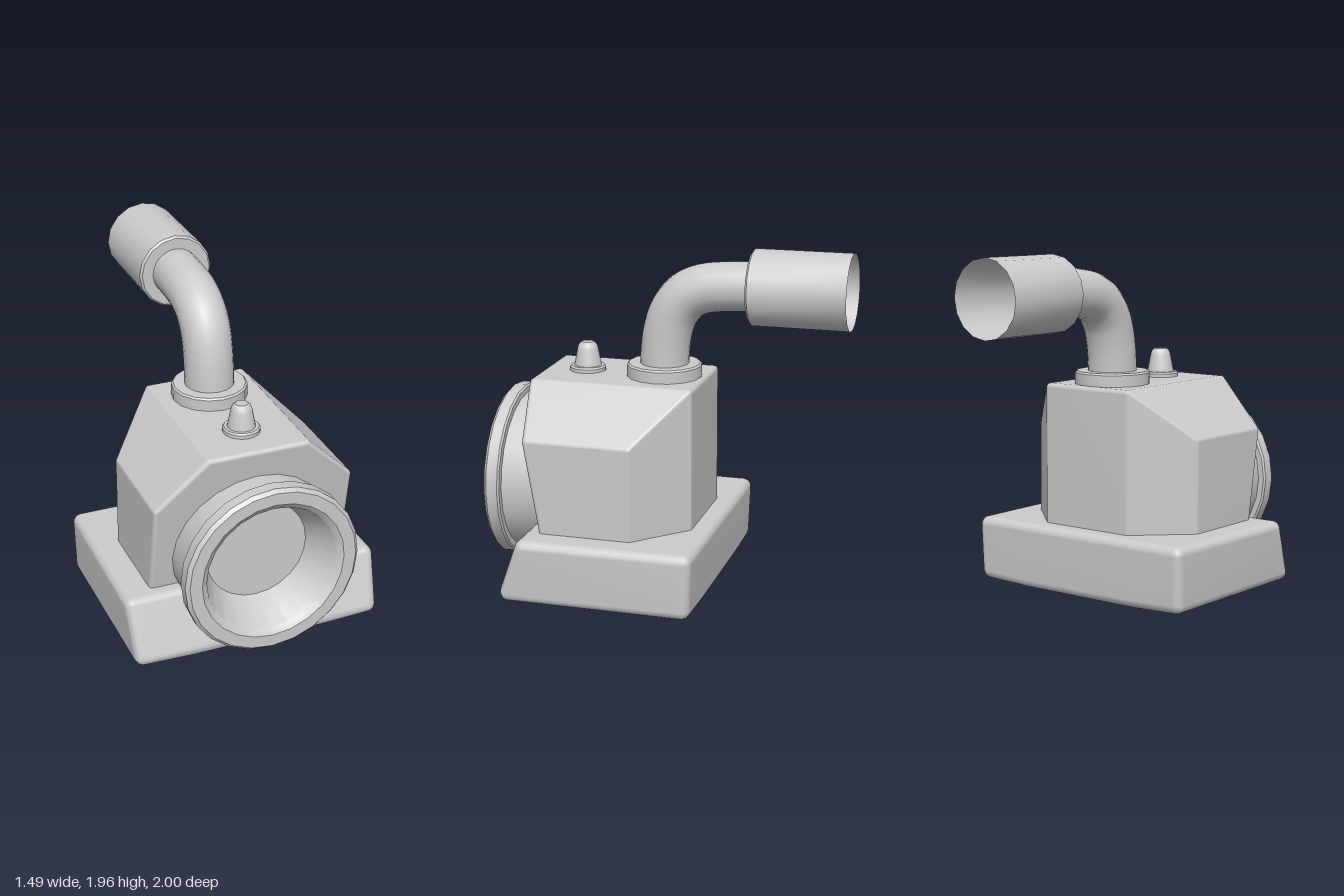
import * as THREE from 'three';
import { mergeVertices, toCreasedNormals } from 'three/addons/utils/BufferGeometryUtils.js';
import { ConvexGeometry } from 'three/addons/geometries/ConvexGeometry.js';

const grey = new THREE.MeshStandardMaterial({ color: 0xcccccc });
const greyOpen = new THREE.MeshStandardMaterial({ color: 0xcccccc, side: THREE.DoubleSide });

function addMesh(group, name, geometry, material = grey) {
  const mesh = new THREE.Mesh(geometry, material);
  mesh.name = name;
  group.add(mesh);
  return mesh;
}

// Rounded convex block: hull of small spheres at the corners, mirrored in x.
// The corners given are the sphere centres; normals are weighted by face area.
function roundedHull(corners, r) {
  const ball = new THREE.SphereGeometry(r, 16, 8).attributes.position;
  const points = [];
  for (const [x, y, z] of corners) {
    for (const s of [-1, 1]) {
      for (let i = 0; i < ball.count; i++) {
        points.push(new THREE.Vector3(s * x + ball.getX(i), y + ball.getY(i), z + ball.getZ(i)));
      }
    }
  }
  let g = new ConvexGeometry(points);
  g.deleteAttribute('normal');
  g = mergeVertices(g, 1e-5);
  g.computeVertexNormals();
  return g;
}

function turned(profile, sides) {
  const points = profile.map(([r, h]) => new THREE.Vector2(r, h));
  return toCreasedNormals(new THREE.LatheGeometry(points, sides), 0.6);
}

export function createModel() {
  const group = new THREE.Group();

  // Base: slanted front, sides flaring a little upwards, slightly bowed underside
  const b = 0.05;
  addMesh(group, 'base', roundedHull([
    [0.68, 0.065, 0.785], [0.68, 0.065, -0.22],
    [0.4, 0.055, 0.785], [0.4, 0.055, -0.22],
    [0.697, 0.34, 0.685], [0.685, 0.34, -0.23],
  ], b));

  // Housing: leaning front, chamfered shoulders and back corners
  const r = 0.025;
  const frontZ = (y) => 0.64 + 0.171 * (y - 0.38) - r;
  addMesh(group, 'housing', roundedHull([
    [0.58 - r, 0.3, frontZ(0.3)],
    [0.58 - r, 0.3, 0.12],
    [0.28, 0.3, -0.17 + r],
    [0.58 - r, 0.91, frontZ(0.91)],
    [0.58 - r, 0.91, 0.12],
    [0.28, 1.205 - r, frontZ(1.2)],
    [0.28, 1.205 - r, -0.17 + r],
  ], r));

  // Front port: barrel, flange and a tapered bore with a flat floor
  const port = addMesh(group, 'frontPort', turned([
    [0.46, 0.55], [0.46, 0.905], [0.495, 0.905], [0.505, 0.915], [0.505, 0.98],
    [0.485, 1.0], [0.415, 1.0], [0.38, 0.975], [0.295, 0.76], [0, 0.76],
  ], 24).rotateX(Math.PI / 2));
  port.position.y = 0.58;

  // Bent pipe
  const path = new THREE.CatmullRomCurve3([
    [1.19, 0.07], [1.32, 0.067], [1.46, 0.05], [1.58, 0.012], [1.67, -0.06],
    [1.718, -0.16], [1.738, -0.3], [1.745, -0.45],
  ].map(([y, z]) => new THREE.Vector3(0, y, z)));
  addMesh(group, 'pipe', new THREE.TubeGeometry(path, 32, 0.14, 20), greyOpen);

  const collar = addMesh(group, 'pipeCollar', turned([
    [0.215, 1.18], [0.215, 1.27], [0.205, 1.28], [0.14, 1.28],
  ], 16));
  collar.position.z = 0.07;

  // Wide open sleeve on the end of the pipe
  const sleeve = addMesh(group, 'pipeSleeve', turned([
    [0.14, 0.44], [0.205, 0.44], [0.217, 0.452], [0.217, 1.0],
  ], 16).rotateX(-Math.PI / 2), greyOpen);
  sleeve.position.y = 1.743;

  // Small domed knob on its washer
  const knob = addMesh(group, 'knob', turned([
    [0.104, 1.19], [0.104, 1.225], [0.096, 1.235], [0.078, 1.235],
    [0.06, 1.33], [0.052, 1.355], [0.035, 1.37], [0, 1.373],
  ], 20));
  knob.position.z = 0.53;

  return group;
}
